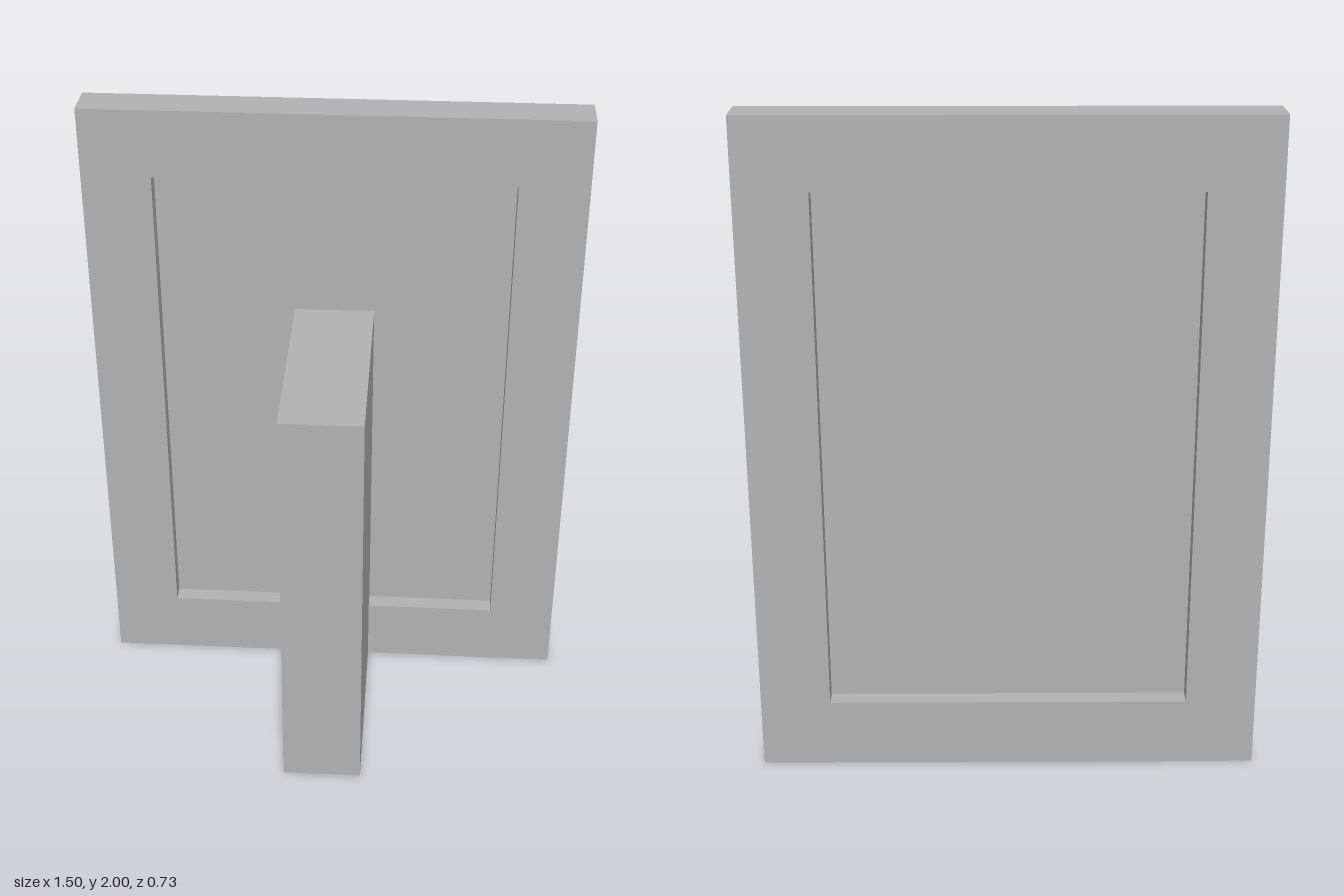
import * as THREE from 'three';

const WIDTH = 1.5, HEIGHT = 2, BORDER = 0.21;
const BACK = -0.365, FRONT = -0.242, RECESS = 0.053;

// Closed outline from corner points
function outline(points, Type = THREE.Shape) {
  return new Type(points.map(([x, y]) => new THREE.Vector2(x, y)));
}

function rectangle(halfWidth, bottom, top, Type) {
  return outline([[-halfWidth, bottom], [halfWidth, bottom], [halfWidth, top], [-halfWidth, top]], Type);
}

function extrude(shape, depth) {
  return new THREE.ExtrudeGeometry(shape, { depth, bevelEnabled: false });
}

export function createModel() {
  const model = new THREE.Group();
  model.name = 'framedPanelOnStand';
  const grey = new THREE.MeshStandardMaterial({ color: 0xb2b2b2 });
  grey.name = 'grey';

  function add(name, geometry) {
    const mesh = new THREE.Mesh(geometry, grey);
    mesh.name = name;
    model.add(mesh);
    return mesh;
  }

  // Border with a rectangular opening
  const border = rectangle(WIDTH / 2, 0, HEIGHT);
  border.holes.push(rectangle(WIDTH / 2 - BORDER, BORDER, HEIGHT - BORDER, THREE.Path));
  add('frame', extrude(border, FRONT - BACK)).position.z = BACK;

  // Thin panel, recessed from both faces of the frame
  const thickness = FRONT - BACK - 2 * RECESS;
  const panel = new THREE.BoxGeometry(WIDTH - 2 * BORDER, HEIGHT - 2 * BORDER, thickness);
  add('panel', panel).position.set(0, HEIGHT / 2, (FRONT + BACK) / 2);

  // Upright stand: side profile steps over the border to meet the panel
  const panelFace = FRONT - RECESS, standFront = 0.365, standTop = 1.335, standWidth = 0.246;
  const profile = outline([
    [-standFront, 0], [-FRONT, 0], [-FRONT, BORDER],
    [-panelFace, BORDER], [-panelFace, standTop], [-standFront, standTop],
  ]);
  const stand = extrude(profile, standWidth);
  stand.translate(0, 0, -standWidth / 2);
  stand.rotateY(Math.PI / 2); // profile x becomes -z
  add('stand', stand);

  return model;
}
